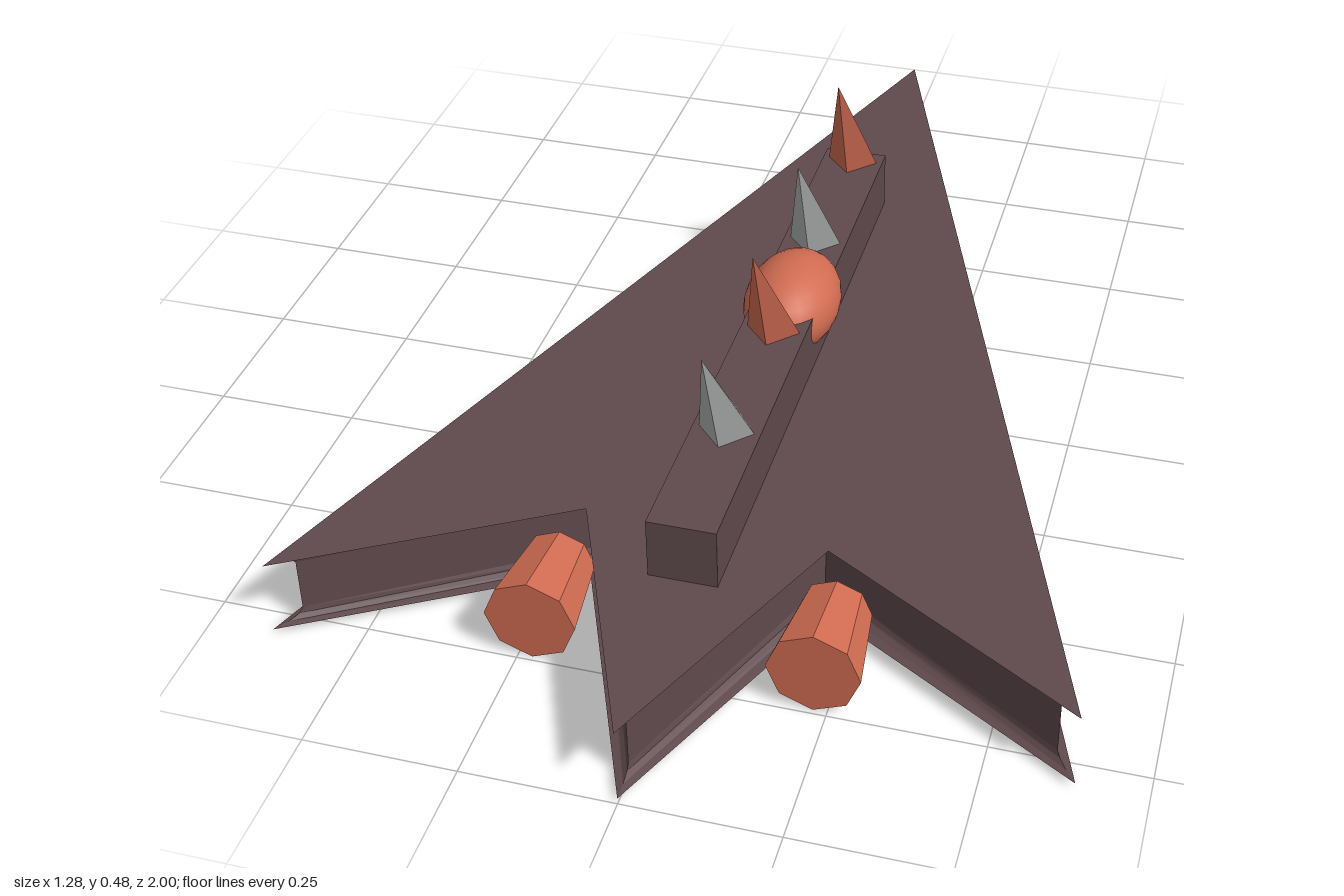
import * as THREE from 'three';

const material = (name, color, flatShading = true) =>
  Object.assign(new THREE.MeshStandardMaterial({ color, flatShading }), { name });

export function createModel() {
  const hullMat = material('dark maroon', 0x5f494c);
  const orangeMat = material('burnt orange', 0xd16c52, false);
  const greyMat = material('light grey', 0xb0b2b2);
  const group = new THREE.Group();

  const add = (name, geometry, mat, x, y, z) => {
    const mesh = new THREE.Mesh(geometry, mat);
    mesh.name = name;
    mesh.position.set(x, y, z);
    group.add(mesh);
    return mesh;
  };
  // Non-indexed copy with face normals, so a smooth material still shows facets
  const faceted = (geometry) => {
    const g = geometry.toNonIndexed();
    g.computeVertexNormals();
    return g;
  };

  // Hull: arrowhead plan with sides recessed between two flared rims
  const plan = new THREE.Shape([
    [0, -1], [0.64, 0.8], [0.2, 0.54], [0, 1], [-0.2, 0.54], [-0.64, 0.8],
  ].map(([x, z]) => new THREE.Vector2(x, z)));
  const rim = 0.019;
  const hull = new THREE.ExtrudeGeometry(plan, {
    depth: 0.094, bevelThickness: rim, bevelSize: -0.038, bevelSegments: 3,
  }).rotateX(Math.PI / 2);
  add('hull', hull, hullMat, 0, 0.143 - rim, 0);

  // Raised spine along the top
  add('spine', new THREE.BoxGeometry(0.113, 0.113, 1.135), hullMat, 0, 0.1935, 0.0975);

  // Rounded canopy
  add('canopy', new THREE.SphereGeometry(1, 24, 16), orangeMat, 0, 0.225, 0.004)
    .scale.set(0.083, 0.077, 0.122);

  // Four-sided spikes leaning backwards, alternating in colour
  const spike = faceted(new THREE.ConeGeometry(0.047, 0.263, 4).translate(0, 0.1315, 0).rotateX(0.5));
  for (let i = 0; i < 4; i++) {
    add('spike', spike, i % 2 ? orangeMat : greyMat, 0, 0.245, 0.413 - 0.285 * i);
  }

  // Flared octagonal thrusters
  const thruster = faceted(new THREE.CylinderGeometry(0.075, 0.057, 0.15, 8).rotateX(Math.PI / 2));
  for (const side of [-1, 1]) {
    add(side > 0 ? 'leftThruster' : 'rightThruster', thruster, orangeMat, side * 0.227, 0.075, 0.667);
  }

  return group;
}
